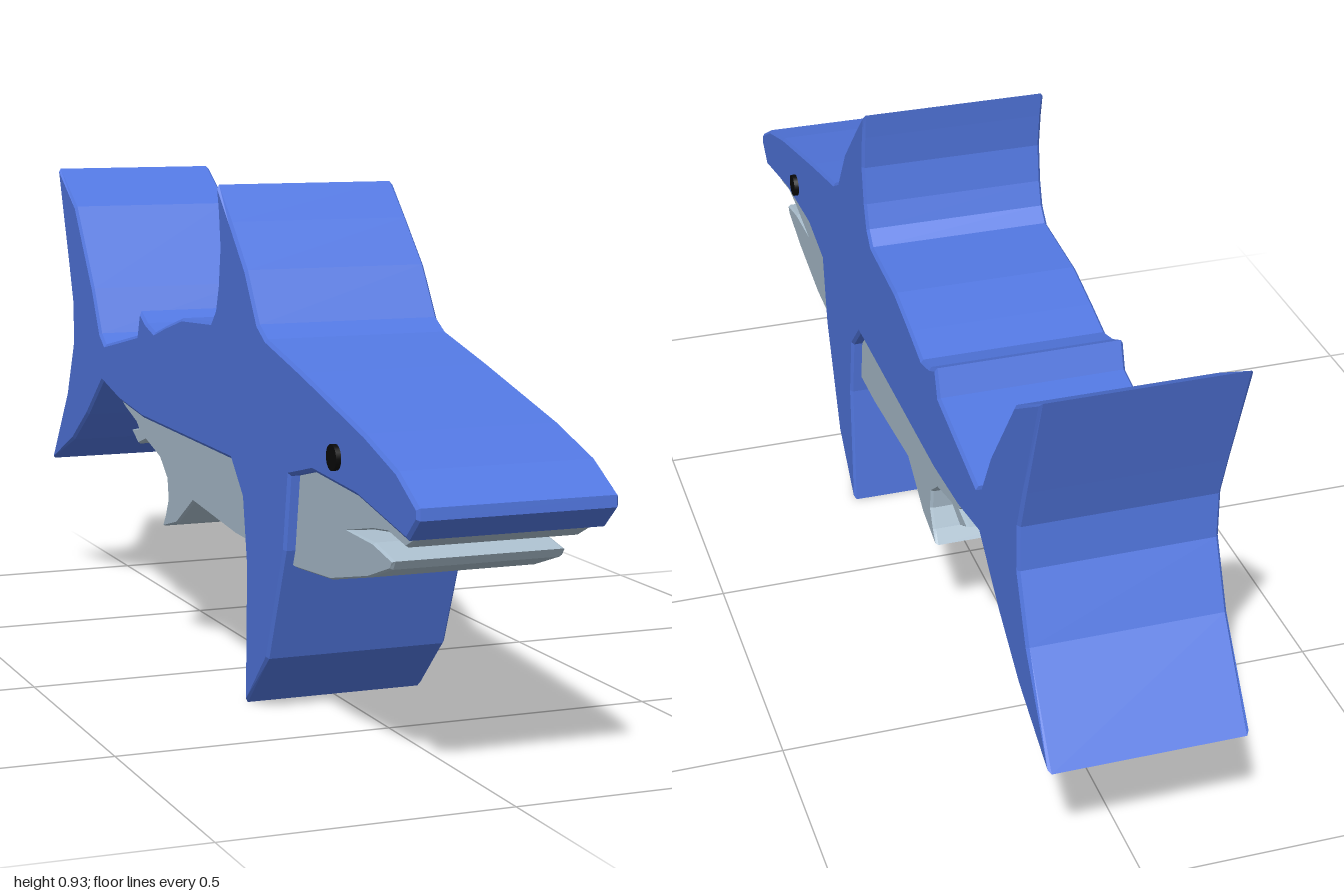
import * as THREE from 'three';

// Side profiles as [z, y] pairs
const BACK = [
  // snout and forehead
  [1, 0.47], [1, 0.49], [0.92, 0.535], [0.79, 0.575], [0.52, 0.64], [0.35, 0.678], [0.31, 0.70],
  // dorsal fin
  [0.25, 0.79], [0.17, 0.87], [0.1, 0.933], [0.107, 0.885], [0.115, 0.82], [0.105, 0.75], [0.09, 0.705], [0.065, 0.68],
  // back and small second fin
  [-0.1, 0.67], [-0.2, 0.645], [-0.27, 0.625], [-0.32, 0.638], [-0.36, 0.658], [-0.378, 0.608], [-0.47, 0.59],
  // tail fin
  [-0.6, 0.565], [-0.63, 0.585], [-0.68, 0.675], [-0.80, 0.84], [-0.926, 0.915], [-0.855, 0.71],
  [-0.828, 0.63], [-0.828, 0.545], [-0.88, 0.43], [-1, 0.265], [-0.84, 0.33], [-0.73, 0.40], [-0.62, 0.485],
  // colour line along the flank
  [-0.5, 0.46], [-0.35, 0.445], [0.17, 0.44], [0.23, 0.38],
  // pectoral fin
  [0.25, 0.26], [0.245, 0.005], [0.355, 0.11], [0.44, 0.32], [0.462, 0.455],
  // upper lip
  [0.57, 0.48], [0.76, 0.47], [0.96, 0.433],
];
const BELLY = [
  // upper jaw and mouth
  [0.96, 0.437], [0.91, 0.412], [0.84, 0.424], [0.78, 0.417], [0.67, 0.397], [0.78, 0.396], [0.86, 0.38], [0.85, 0.365],
  // lower jaw and underside
  [0.76, 0.335], [0.6, 0.3], [0.44, 0.289], [0.14, 0.294], [-0.1, 0.315],
  // pelvic fin
  [-0.2, 0.255], [-0.285, 0.235], [-0.268, 0.26], [-0.25, 0.295], [-0.256, 0.335], [-0.3, 0.37], [-0.39, 0.393],
  // anal fin
  [-0.44, 0.378], [-0.482, 0.402], [-0.435, 0.41], [-0.45, 0.42], [-0.53, 0.443], [-0.605, 0.485],
  // edge tucked inside the back
  [-0.5, 0.485], [-0.35, 0.465], [0.17, 0.462], [0.46, 0.48], [0.57, 0.5], [0.76, 0.49],
];

// Extrudes a side profile across x, with a slim bevel
function slab(name, profile, halfWidth, bevel, color) {
  const shape = new THREE.Shape(profile.map(([z, y]) => new THREE.Vector2(z, y)));
  const thickness = 0.005;
  const geometry = new THREE.ExtrudeGeometry(shape, {
    depth: 2 * (halfWidth - thickness),
    bevelEnabled: true,
    bevelThickness: thickness,
    bevelSize: bevel,
    bevelOffset: -bevel,
    bevelSegments: 1,
  });
  geometry.translate(0, 0, thickness - halfWidth);
  geometry.rotateY(-Math.PI / 2);
  const mesh = new THREE.Mesh(geometry, new THREE.MeshStandardMaterial({ color }));
  mesh.name = name;
  return mesh;
}

export function createModel() {
  const group = new THREE.Group();
  group.name = 'shark';
  group.add(slab('backAndFins', BACK, 0.173, 0.006, 0x5277e0));
  group.add(slab('belly', BELLY, 0.152, 0.003, 0xabbfce));

  // Eyes: short discs standing proud of both flanks
  const eyeGeometry = new THREE.CylinderGeometry(0.022, 0.022, 0.02, 24);
  eyeGeometry.rotateZ(Math.PI / 2);
  const eyeMaterial = new THREE.MeshStandardMaterial({ color: 0x080808 });
  for (const [name, side] of [['leftEye', 1], ['rightEye', -1]]) {
    const eye = new THREE.Mesh(eyeGeometry, eyeMaterial);
    eye.name = name;
    eye.position.set(side * 0.172, 0.52, 0.675);
    group.add(eye);
  }
  return group;
}
